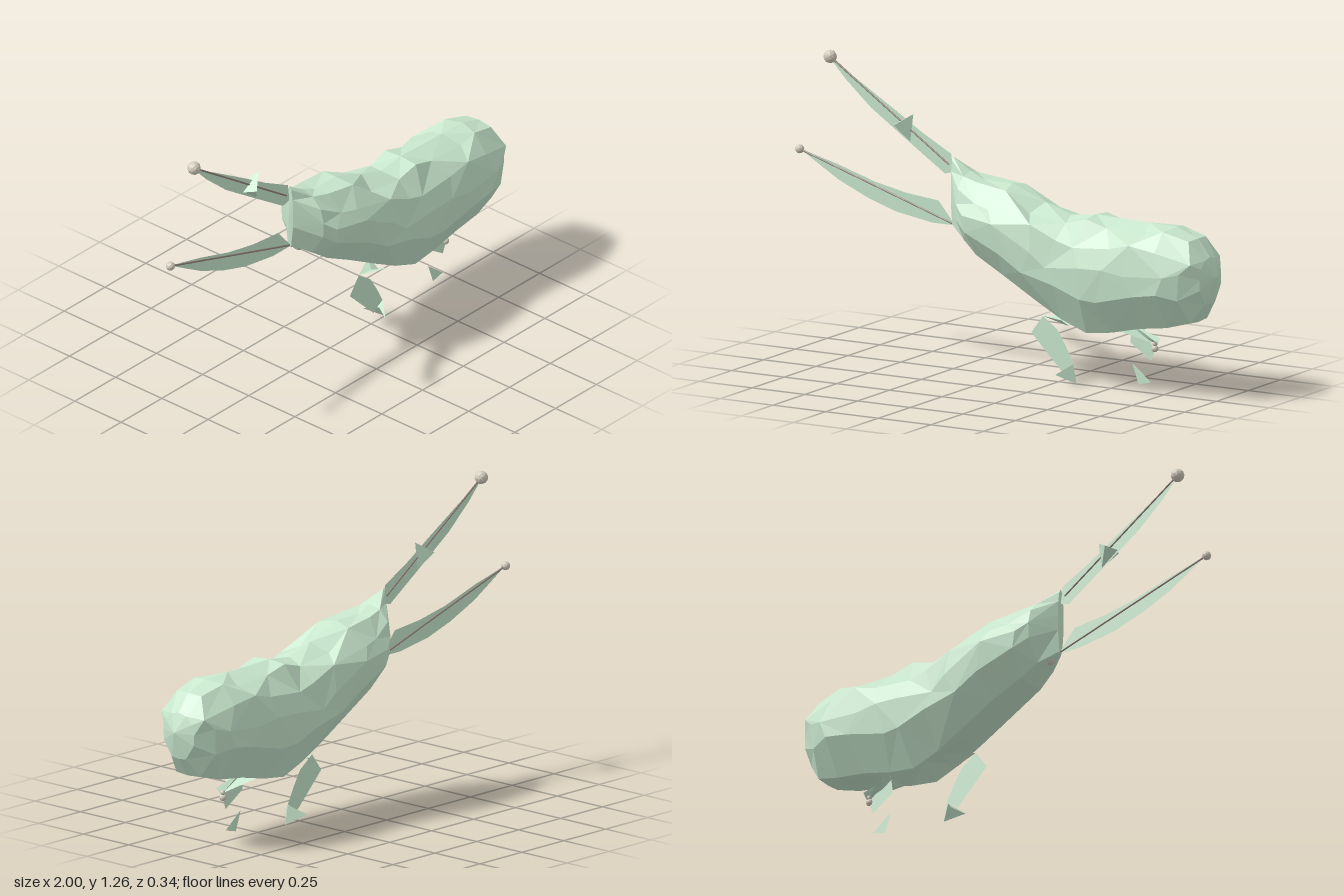
import * as THREE from 'three';

export function createModel() {
  const model = new THREE.Group();
  const skin = new THREE.MeshStandardMaterial({ color: 0xc9e8ce, flatShading: true, side: THREE.DoubleSide });
  const knobMat = new THREE.MeshStandardMaterial({ color: 0xd2ccbc, flatShading: true });
  const rodMat = new THREE.MeshStandardMaterial({ color: 0x94827a, flatShading: true });
  skin.name = 'pale green skin';
  knobMat.name = 'warm grey knob';
  rodMat.name = 'brown grey rod';

  const add = (name, geometry, material) => {
    const mesh = new THREE.Mesh(geometry, material);
    mesh.name = name;
    model.add(mesh);
    return mesh;
  };
  const meshGeometry = (points, index) => {
    const g = new THREE.BufferGeometry();
    g.setAttribute('position', new THREE.Float32BufferAttribute(points.flat(), 3));
    g.setIndex(index);
    g.computeVertexNormals();
    return g;
  };

  // Body stations: x, top, bottom edge, bottom centre, half width
  const stations = [
    [-0.25, 0.885, 0.605, 0.60, 0.02],
    [-0.17, 0.835, 0.56, 0.55, 0.115],
    [-0.10, 0.805, 0.505, 0.50, 0.15],
    [0.03, 0.805, 0.44, 0.435, 0.172],
    [0.19, 0.745, 0.35, 0.345, 0.175],
    [0.31, 0.705, 0.285, 0.31, 0.171],
    [0.43, 0.72, 0.24, 0.30, 0.175],
    [0.55, 0.715, 0.255, 0.30, 0.173],
    [0.68, 0.713, 0.285, 0.30, 0.177],
    [0.81, 0.708, 0.302, 0.302, 0.172],
    [0.915, 0.672, 0.33, 0.325, 0.142],
    [0.97, 0.60, 0.41, 0.405, 0.085],
  ];
  // Half cross-section from top to bottom: width share, height share
  const half = [[0, 1], [0.48, 0.95], [0.86, 0.79], [1, 0.57], [0.97, 0.33], [0.46, 0], [0, 0]];
  const points = [], index = [];
  stations.forEach(([x, top, low, keel, w], s) => {
    for (let i = 0; i < 12; i++) {
      const k = i <= 6 ? i : 12 - i, [u, v] = half[k];
      const inner = k > 0 && k < 5 && s > 1 && s < 11;
      const bump = inner ? Math.sin(s * 2.3 + k * 1.9) : 0;
      points.push([
        x + bump * 0.03,
        k === 6 ? keel : low + (top - low) * v + (inner ? Math.cos(s * 1.7 + k * 2.6) * 0.018 : 0),
        (i <= 6 ? 1 : -1) * w * u * (1 - 0.04 * Math.abs(bump)),
      ]);
    }
  });
  for (let s = 0; s < stations.length - 1; s++) {
    for (let i = 0; i < 12; i++) {
      const j = (i + 1) % 12, side = i < 6 ? i : 11 - i;
      const a = s * 12 + i, b = s * 12 + j, c = b + 12, d = a + 12;
      if (((s + side) % 2 === 0) === (i < 6)) index.push(a, b, c, a, c, d);
      else index.push(a, b, d, b, c, d);
    }
  }
  const last = (stations.length - 1) * 12;
  points.push([-0.255, 0.74, 0], [1.0, 0.52, 0]);
  for (let i = 0; i < 12; i++) {
    const j = (i + 1) % 12;
    index.push(j, i, last + 12, last + i, last + j, last + 13);
  }
  add('body', meshGeometry(points, index), skin);

  // Flat blades lying in the middle plane
  const blade = (name, outline) =>
    add(name, new THREE.ShapeGeometry(new THREE.Shape(outline.map(([x, y]) => new THREE.Vector2(x, y)))), skin);
  blade('upperFin', [[-0.84, 1.235], [-0.72, 1.165], [-0.52, 1.045], [-0.40, 0.97], [-0.26, 0.895],
    [-0.25, 0.82], [-0.29, 0.81], [-0.5, 0.95], [-0.64, 1.045], [-0.76, 1.15]]);
  blade('lowerFin', [[-0.98, 0.84], [-0.8, 0.795], [-0.62, 0.74], [-0.47, 0.71], [-0.32, 0.695], [-0.24, 0.60],
    [-0.35, 0.6], [-0.52, 0.627], [-0.65, 0.668], [-0.79, 0.728], [-0.88, 0.78]]);
  blade('frontLeg', [[0.175, 0.27], [0.12, 0.195], [0.265, 0.05], [0.32, 0.088], [0.285, 0.155], [0.245, 0.22]]);
  blade('rearLeg', [[0.59, 0.205], [0.69, 0.14], [0.71, 0.19], [0.66, 0.24], [0.6, 0.28]]);
  blade('rearFoot', [[0.6, 0.12], [0.69, 0.05], [0.63, 0.035]]);

  // Faceted joints with a ridge in the middle plane and corners to each side
  const joint = (name, a, b, c, wide, z) =>
    add(name, meshGeometry(
      [[...a, 0], [...b, 0], [...c, 0], [...wide, z], [...wide, -z]],
      [0, 1, 3, 1, 2, 3, 2, 0, 3, 1, 0, 4, 2, 1, 4, 0, 2, 4]), skin);
  joint('finJoint', [-0.535, 0.985], [-0.455, 0.925], [-0.44, 1.04], [-0.505, 0.995], 0.048);
  joint('frontFoot', [0.335, 0.005], [0.32, 0.086], [0.30, 0.06], [0.27, 0.046], 0.06);
  joint('frontHip', [0.175, 0.27], [0.30, 0.24], [0.25, 0.262], [0.30, 0.275], 0.06);
  joint('rearHip', [0.6, 0.28], [0.72, 0.205], [0.66, 0.235], [0.72, 0.23], 0.025);
  joint('rearThigh', [0.59, 0.27], [0.71, 0.21], [0.64, 0.235], [0.59, 0.265], 0.08);

  // Thin spines through the fins
  const rod = (name, a, b) => {
    const from = new THREE.Vector3(...a, 0), to = new THREE.Vector3(...b, 0);
    const mesh = add(name, new THREE.CylinderGeometry(0.004, 0.004, from.distanceTo(to), 6), rodMat);
    mesh.position.copy(from).lerp(to, 0.5);
    mesh.quaternion.setFromUnitVectors(new THREE.Vector3(0, 1, 0), to.sub(from).normalize());
  };
  rod('upperSpine', [-0.835, 1.237], [-0.27, 0.85]);
  rod('lowerSpine', [-0.98, 0.838], [-0.2, 0.59]);

  // Knobs at the spine ends
  for (const [name, x, y, r] of [
    ['upperKnob', -0.835, 1.237, 0.028], ['lowerKnob', -0.98, 0.838, 0.019],
    ['neckKnob', -0.195, 0.588, 0.026], ['rearKnob', 0.707, 0.192, 0.015], ['rearSmallKnob', 0.708, 0.213, 0.011],
  ]) add(name, new THREE.IcosahedronGeometry(r, 1), knobMat).position.set(x, y, 0);

  return model;
}
